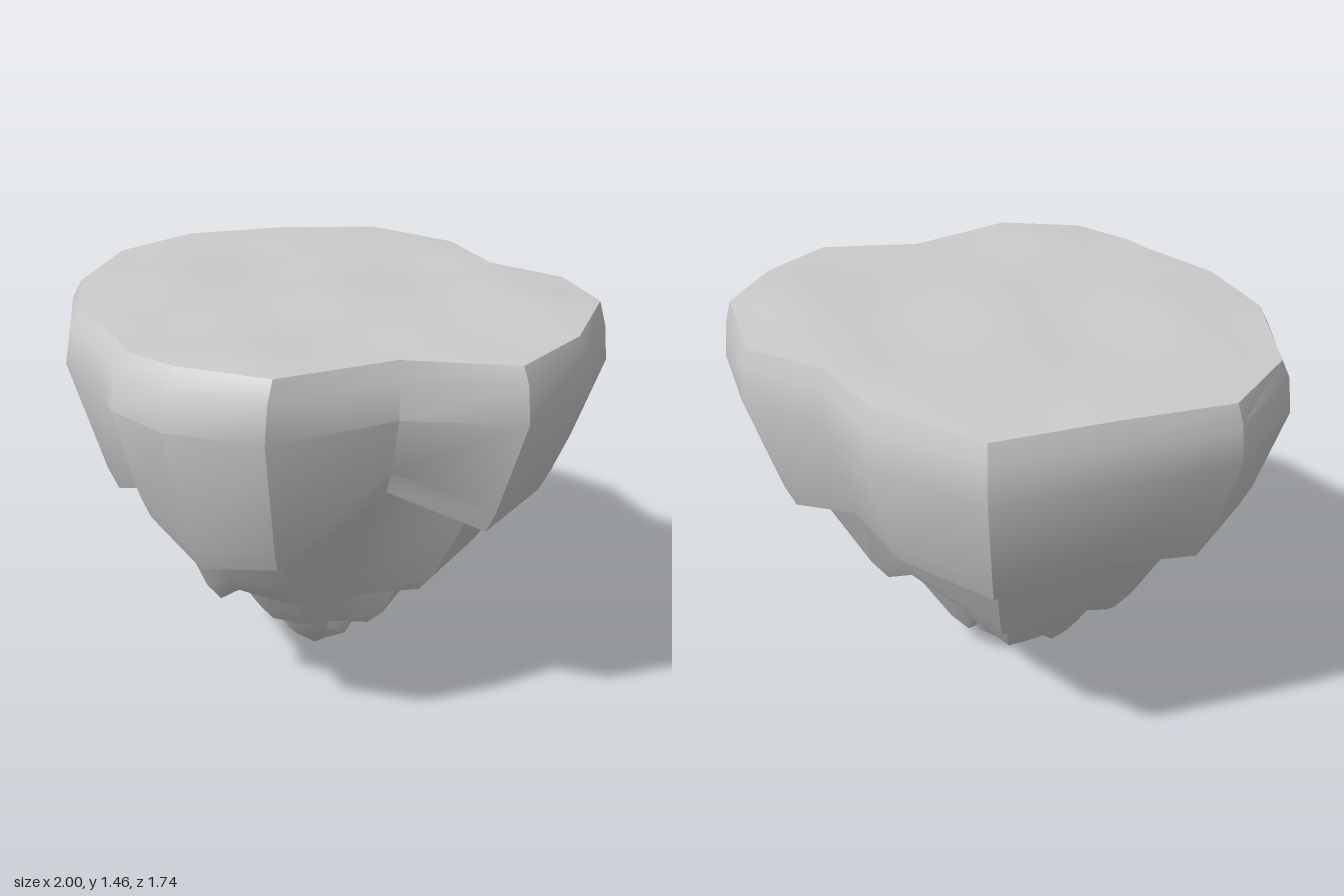
import * as THREE from 'three';
import { toCreasedNormals } from 'three/addons/utils/BufferGeometryUtils.js';

// Widest outline [x, z], counter-clockwise seen from above
const outline = [
  [1.0, -0.08], [0.92, -0.40], [0.73, -0.70], [0.39, -0.87], [0.09, -0.79], [-0.24, -0.87],
  [-0.64, -0.78], [-0.83, -0.43], [-1.0, -0.08], [-0.92, 0.29], [-0.61, 0.63], [-0.28, 0.80],
  [0.06, 0.835], [0.18, 0.87], [0.42, 0.83], [0.68, 0.64], [0.75, 0.21],
];
const N = outline.length;

// Jagged lower edge heights, one per outline point
const upperEdge = [0.84, 0.89, 0.89, 0.83, 0.88, 0.86, 0.83, 0.90, 0.85, 0.87, 0.82, 0.77, 0.90, 0.84, 0.71, 0.76, 0.98];
const middleEdge = [0.50, 0.57, 0.60, 0.45, 0.54, 0.56, 0.46, 0.52, 0.44, 0.32, 0.38, 0.49, 0.45, 0.41, 0.52, 0.47, 0.45];
const lowerEdge = [0.24, 0.23, 0.22, 0.13, 0.22, 0.24, 0.17, 0.23, 0.15, 0.12, 0.14, 0.23, 0.22, 0.21, 0.24, 0.25, 0.23];

// Ribs: how far each outline point stands out at a tier's lip
const middleRibs = [1.02, 0.99, 1.02, 1.0, 1.03, 0.97, 1.02, 0.98, 0.95, 0.98, 1.0, 1.02, 1.05, 1.08, 1.02, 1.0, 1.02];
const lowerRibs = [1.15, 1.02, 1.06, 1.05, 1.02, 0.98, 1.05, 0.98, 1.06, 1.1, 1.08, 1.0, 1.04, 1.02, 1.0, 1.06, 1.12];

const material = new THREE.MeshStandardMaterial({ color: 0xcccccc });

// Gentle bumps, with a low mound towards the back left corner
const ground = (x, z) => 1.437 + 0.008 * Math.sin(7 * x + 1) * Math.cos(6 * z - 2 * x)
  + 0.006 * Math.sin(9 * x - 4 * z) * Math.cos(5 * x + 7 * z)
  + 0.022 * Math.exp(-14 * ((x - 0.66) ** 2 + (z + 0.6) ** 2));

// Top rim, pulled in from the widest outline
const rim = outline.map(([x, z]) => {
  const rx = x * 0.96, rz = z * (z > 0 ? 0.925 : 0.965);
  return new THREE.Vector3(rx, ground(rx, rz) - 0.006, rz);
});

// Ring that scales the outline, optionally ribbed
function ring(scaleAt, heightAt, ribs) {
  return outline.map(([x, z], i) => {
    const y = heightAt(i);
    const s = scaleAt(y) * (ribs ? ribs[i] : 1);
    return new THREE.Vector3(x * s, y, z * s - 0.02 * (1 - Math.min(1, y)));
  });
}

// Joins closed rings, listed from the top down
function loft(name, rings) {
  const n = rings[0].length, index = [];
  for (let r = 0; r < rings.length - 1; r++) {
    for (let i = 0; i < n; i++) {
      const j = (i + 1) % n, a = r * n, b = a + n;
      index.push(b + i, b + j, a + j, b + i, a + j, a + i);
    }
  }
  let geometry = new THREE.BufferGeometry().setFromPoints(rings.flat());
  geometry.setIndex(index);
  geometry = toCreasedNormals(geometry, 0.62);
  const mesh = new THREE.Mesh(geometry, material);
  mesh.name = name;
  return mesh;
}

// Straight taper through two [height, scale] points
const taper = (y0, s0, y1, s1) => (y) => s0 + (s1 - s0) * (y - y0) / (y1 - y0);
const upperTaper = taper(1.25, 1, 0.71, 0.825);
const middleTaper = taper(0.9, 0.82, 0.4, 0.505);
const lowerTaper = taper(0.5, 0.465, 0.15, 0.215);
const tipTaper = taper(0.3, 0.24, 0.12, 0.15);

// Rock tier: hidden top, jagged lip, underside tucked into the next tier
function tier(name, start, scaleAt, edge, nextScale, ribs) {
  return loft(name, [
    ...start,
    ring(scaleAt, (i) => edge[i] + 0.08, ribs),
    ring((y) => scaleAt(y) - 0.012, (i) => edge[i], ribs),
    ring((y) => nextScale(y) - 0.05, (i) => edge[i] + 0.02),
  ]);
}

// Gently uneven ground inside the rim
function groundSurface() {
  const edge = [];
  rim.forEach((p, i) => {
    for (let k = 0; k < 4; k++) edge.push(p.clone().lerp(rim[(i + 1) % N], k / 4));
  });
  const rings = [];
  for (let r = 0; r <= 16; r++) {
    const t = r / 16;
    rings.push(edge.map((p) => {
      const x = p.x * t, z = p.z * t;
      return new THREE.Vector3(x, THREE.MathUtils.lerp(ground(x, z), p.y, t ** 8), z);
    }));
  }
  return loft('ground', rings);
}

export function createModel() {
  const island = new THREE.Group();
  island.name = 'floatingIsland';

  const widest = outline.map(([x, z]) => new THREE.Vector3(x, 1.25, z));
  const shoulder = rim.map((p, i) => p.clone().lerp(widest[i], 0.62).setY(1.37));

  island.add(
    groundSurface(),
    tier('upperRock', [rim, shoulder, widest], upperTaper, upperEdge, middleTaper),
    tier('middleRock', [ring(() => 0.88, () => 1.05)], middleTaper, middleEdge, lowerTaper, middleRibs),
    tier('lowerRock', [ring(() => 0.56, () => 0.66)], lowerTaper, lowerEdge, tipTaper, lowerRibs),
    // Pointed bottom
    loft('rockTip', [
      ring(tipTaper, () => 0.34),
      ring(tipTaper, (i) => 0.13 + 0.015 * Math.sin(i * 1.7), lowerRibs),
      ring(() => 0.07, () => 0.055),
      ring(() => 0, () => 0),
    ]),
  );
  return island;
}
